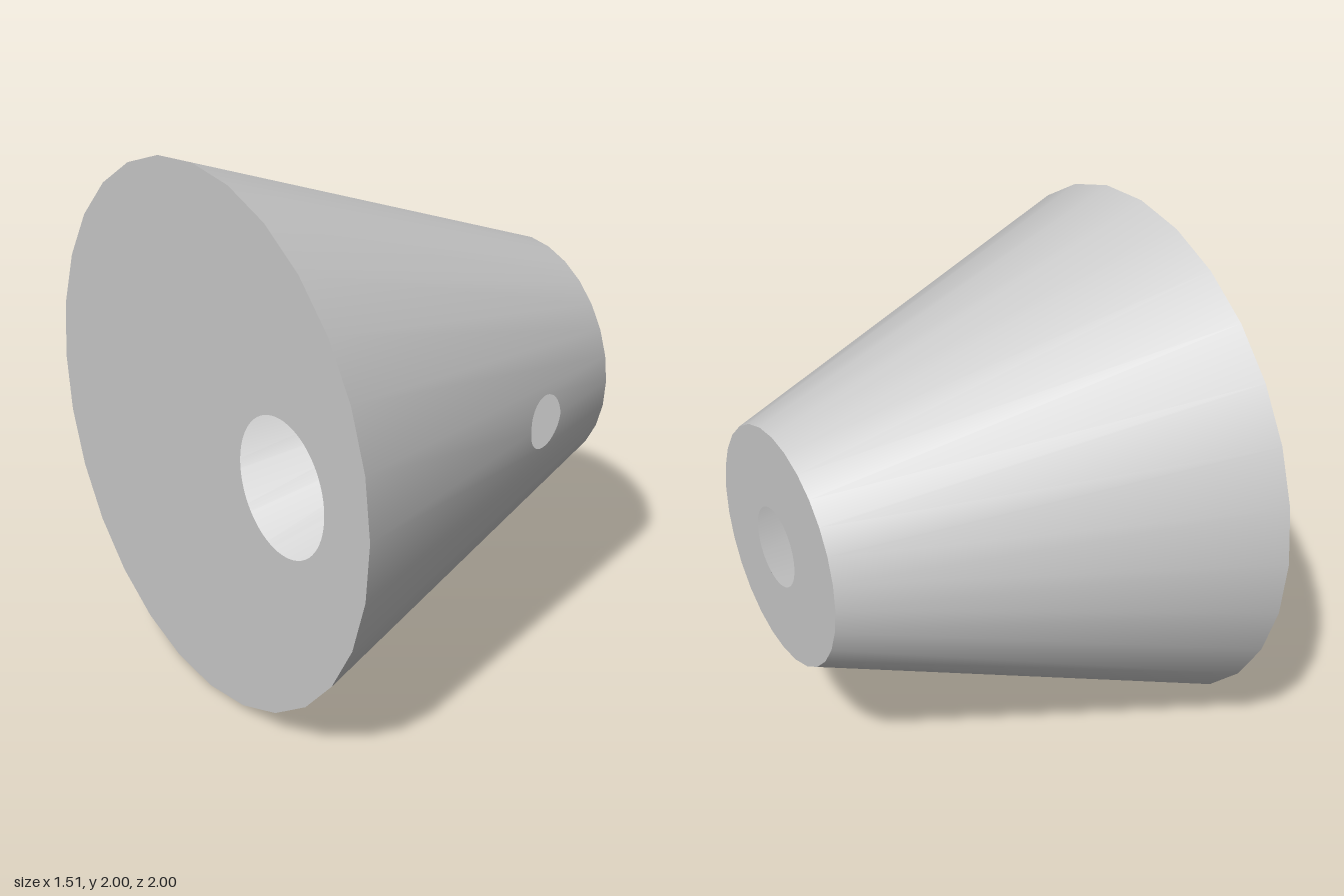
import * as THREE from 'three';

const SIDES = 28, STEP = (2 * Math.PI) / SIDES;
const X0 = -0.755, X1 = 0.745, R0 = 1, R1 = 0.45;
const SLOPE = (R0 - R1) / (X1 - X0);
const radiusAt = (x) => R0 - (x - X0) * SLOPE;
const material = new THREE.MeshStandardMaterial({ color: 0xcccccc, side: THREE.DoubleSide });

function part(name, geometry) {
  const mesh = new THREE.Mesh(geometry, material);
  mesh.name = name;
  return mesh;
}

// Flat polygonal disc with one round hole, facing +z
function plate(radius, holeX, holeRadius) {
  const rim = [];
  for (let i = 0; i < SIDES; i++) {
    rim.push(new THREE.Vector2(Math.cos(i * STEP) * radius, Math.sin(i * STEP) * radius));
  }
  const shape = new THREE.Shape(rim);
  shape.holes.push(new THREE.Path().absarc(holeX, 0, holeRadius, 0, Math.PI * 2, true));
  return new THREE.ShapeGeometry(shape, 32);
}

// One wall facet beside the front centre line, notched by half of the side hole
function notchedFacet(sign) {
  const hx = 0.31, hr = 0.1, s = Math.sin(STEP);
  const points = [[X0, 0], [X0, sign * R0 * s], [X1, sign * R1 * s], [X1, 0]];
  for (let i = 0; i <= 20; i++) {
    const t = (i / 20) * Math.PI;
    points.push([hx + hr * Math.cos(t), sign * hr * Math.sin(t)]);
  }
  const geometry = new THREE.ShapeGeometry(new THREE.Shape(points.map((p) => new THREE.Vector2(...p))));
  const pos = geometry.attributes.position, normal = geometry.attributes.normal;
  const n = new THREE.Vector3();
  for (let i = 0; i < pos.count; i++) {
    const x = pos.getX(i), y = pos.getY(i), r = radiusAt(x);
    const z = r - Math.abs(y) * Math.tan(STEP / 2);
    pos.setZ(i, z);
    n.set(SLOPE, y / r, z / r).normalize();
    normal.setXYZ(i, n.x, n.y, n.z);
  }
  return geometry;
}

export function createModel() {
  const model = new THREE.Group();
  model.name = 'hollowCone';

  // Tapered wall, left open over the two front facets
  const wall = new THREE.CylinderGeometry(R1, R0, X1 - X0, SIDES - 2, 1, true, STEP, 2 * Math.PI - 2 * STEP);
  wall.rotateZ(-Math.PI / 2).translate((X0 + X1) / 2, 0, 0);
  model.add(part('taperedWall', wall));

  // Front facets around the side hole
  model.add(part('sideHoleUpperFacet', notchedFacet(1)));
  model.add(part('sideHoleLowerFacet', notchedFacet(-1)));

  // Wide end with an off-centre hole
  model.add(part('wideEndPlate', plate(R0, 0.5, 0.25).rotateY(-Math.PI / 2).translate(X0, 0, 0)));

  // Narrow end with a central hole, raised very slightly at the middle
  const cap = plate(R1, 0, 0.15);
  const pos = cap.attributes.position;
  for (let i = 0; i < pos.count; i++) {
    pos.setZ(i, 0.01 * (1 - (pos.getX(i) ** 2 + pos.getY(i) ** 2) / (R1 * R1)));
  }
  model.add(part('narrowEndPlate', cap.rotateY(Math.PI / 2).translate(X1, 0, 0)));

  for (const mesh of model.children) mesh.position.y = 1;
  return model;
}
